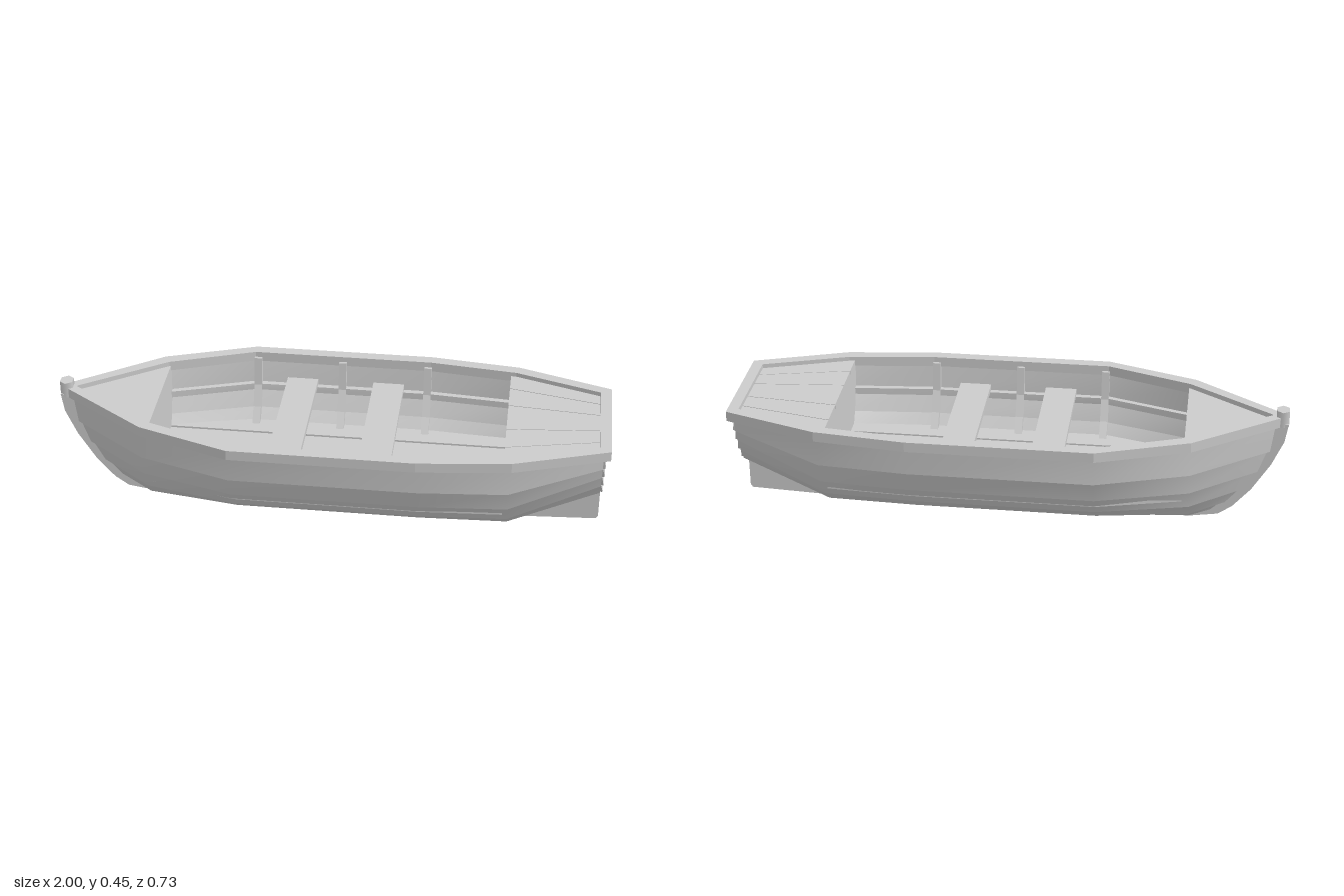
import * as THREE from 'three';
import { toCreasedNormals } from 'three/addons/utils/BufferGeometryUtils.js';

const material = new THREE.MeshStandardMaterial({ color: 0xcccccc });

// Half cross-sections as [z, y], keel to gunwale
const MID = [[0.02, 0.025], [0.092, 0.036], [0.165, 0.07], [0.24, 0.128], [0.295, 0.203], [0.335, 0.288], [0.35, 0.4]];
const STERN = [[0.02, 0.145], [0.055, 0.155], [0.105, 0.19], [0.14, 0.24], [0.17, 0.295], [0.19, 0.342], [0.2, 0.4]];
const BOW_X = [-0.7, -0.745, -0.795, -0.855, -0.905, -0.945, -0.97];
const scaled = (k) => MID.map(([z, y]) => [z * k, y]);

// Stations from bow to stern; x is one value per plank edge
const STATIONS = [
  { x: BOW_X, pts: MID.map(([, y]) => [0.012, y]) },
  { x: -0.66, pts: scaled(0.68) },
  { x: -0.33, pts: MID },
  { x: 0.33, pts: MID },
  { x: 0.65, pts: scaled(0.92) },
  { x: 0.975, pts: STERN },
];

// Move a half section inward (positive) or outward (negative)
function inset(pts, d) {
  return pts.map(([z, y], i) => {
    const a = pts[Math.max(i - 1, 0)], b = pts[Math.min(i + 1, pts.length - 1)];
    const tz = b[0] - a[0], ty = b[1] - a[1], l = Math.hypot(tz, ty);
    return [Math.max(0, z - (d * ty) / l), y + (d * tz) / l];
  });
}

// Half section of the middle body at any x
function sectionAt(x) {
  const s = STATIONS.slice(1);
  const i = Math.max(0, s.findIndex((st, k) => k < s.length - 1 && x <= s[k + 1].x));
  const t = (x - s[i].x) / (s[i + 1].x - s[i].x);
  return s[i].pts.map((p, k) => p.map((v, c) => v + (s[i + 1].pts[k][c] - v) * t));
}

// Skin a row of four-cornered rings, with end caps
function loft(rings) {
  const pos = [];
  const quad = (a, b, c, d) => pos.push(...a, ...b, ...c, ...a, ...c, ...d);
  for (let s = 0; s < rings.length - 1; s++) {
    for (let i = 0; i < 4; i++) {
      const j = (i + 1) % 4;
      quad(rings[s][i], rings[s + 1][i], rings[s + 1][j], rings[s][j]);
    }
  }
  quad(...rings[0]);
  quad(...[...rings[rings.length - 1]].reverse());
  const g = new THREE.BufferGeometry();
  g.setAttribute('position', new THREE.Float32BufferAttribute(pos, 3));
  g.computeVertexNormals();
  return toCreasedNormals(g, 0.5);
}

const shapeOf = (pts) => new THREE.Shape(pts.map(([a, b]) => new THREE.Vector2(a, b)));
const extrude = (shape, depth) => new THREE.ExtrudeGeometry(shape, { depth, bevelEnabled: false });

// Horizontal slab from an [x, z] outline
function slab(pts, y0, y1, hole) {
  const flip = (list) => list.map(([x, z]) => [x, -z]);
  const shape = shapeOf(flip(pts));
  if (hole) shape.holes.push(shapeOf(flip(hole)));
  return extrude(shape, y1 - y0).rotateX(-Math.PI / 2).translate(0, y0, 0);
}

// Upright slab across the boat from a [z, y] outline
const crossSlab = (pts, x, t) => extrude(shapeOf(pts), t).rotateY(Math.PI / 2).translate(x - t / 2, 0, 0);

const mirrored = (half) => [...half, ...half.map(([a, b]) => [a, -b]).reverse()];
const fullSection = (half) => [...half.map(([z, y]) => [-z, y]).reverse(), ...half];

export function createModel() {
  const boat = new THREE.Group();
  boat.name = 'rowingBoat';
  const add = (name, geometry) => {
    const mesh = new THREE.Mesh(geometry, material);
    mesh.name = name;
    boat.add(mesh);
    return mesh;
  };

  // Overlapping hull planks, both sides
  for (const side of [1, -1]) {
    for (let j = 0; j < 6; j++) {
      const rings = STATIONS.map(({ x, pts }) => {
        const out = inset(pts, -0.008), inn = inset(pts, 0.014);
        const at = (list, k) => [Array.isArray(x) ? x[k] : x, list[k][1], list[k][0] * side];
        const ring = [at(out, j), at(pts, j + 1), at(inn, j + 1), at(inn, j)];
        return side > 0 ? ring : ring.reverse();
      });
      add(side > 0 ? 'leftHullPlank' : 'rightHullPlank', loft(rings));
    }
  }

  // Overlapping transom planks
  for (let j = 0; j < 6; j++) {
    const [z0, y0] = STERN[j], [z1, y1] = STERN[j + 1];
    add('transomPlank', loft([1, -1].map((s) => [
      [0.985, y0 - 0.003, z0 * s], [0.975, y1, z1 * s], [0.955, y1, z1 * s], [0.955, y0 - 0.003, z0 * s],
    ])));
  }

  // Stem, keel and skeg in one profile
  const keel = [
    [-0.998, 0.4], [-0.987, 0.33], [-0.945, 0.235], [-0.88, 0.13], [-0.815, 0.055], [-0.765, 0.02],
    [-0.66, 0.004], [0.65, 0], [0.972, 0.014], [0.98, 0.025], [0.98, 0.15], [0.65, 0.032], [-0.66, 0.032],
    [-0.735, 0.045], [-0.785, 0.085], [-0.85, 0.165], [-0.91, 0.27], [-0.95, 0.4],
  ];
  add('keelAndStem', extrude(shapeOf(keel), 0.05).translate(0, 0, -0.025));
  add('stemPost', new THREE.CylinderGeometry(0.03, 0.03, 0.06, 6).scale(0.87, 1, 1).translate(-0.977, 0.418, 0));

  // Gunwale rim
  const outer = [[-0.985, 0.012], [-0.66, 0.25], [-0.33, 0.366], [0.33, 0.366], [0.66, 0.328], [1, 0.212]];
  const inner = [[-0.94, 0.003], [-0.64, 0.212], [-0.33, 0.325], [0.33, 0.325], [0.65, 0.288], [0.96, 0.185]];
  add('gunwale', slab(mirrored(outer), 0.387, 0.424, mirrored(inner)));

  // Bow deck and tapered stern deck boards
  add('bowDeck', slab(mirrored([[-0.95, 0.005], [-0.635, 0.22]]), 0.388, 0.406));
  const cuts = [-1.02, -0.69, -0.28, 0.28, 0.69, 1.02];
  for (let i = 0; i < 5; i++) {
    const a = cuts[i], b = cuts[i + 1], g = 0.0015;
    add('sternDeckBoard', slab([
      [0.63, a * 0.29 + g], [0.965, a * 0.185 + g], [0.965, b * 0.185 - g], [0.63, b * 0.29 - g],
    ], 0.39, 0.408));
  }

  // Bulkheads closing the space under both decks
  for (const [name, x] of [['bowBulkhead', -0.645], ['sternBulkhead', 0.64]]) {
    add(name, crossSlab(fullSection(inset(sectionAt(x), 0.01)), x, 0.018));
  }

  // Curved ribs
  for (const x of [-0.32, 0, 0.32]) {
    const rib = [...fullSection(inset(MID, 0.01)), ...fullSection(inset(MID, 0.04)).reverse()];
    add('rib', crossSlab(rib, x, 0.028));
  }

  // Stringers that carry the seats
  for (const side of [1, -1]) {
    const rings = [-0.635, -0.33, 0.33, 0.63].map((x) => {
      const z = sectionAt(x)[5][0] - 0.008;
      const ring = [[x, 0.275, z * side], [x, 0.3, z * side], [x, 0.3, (z - 0.025) * side], [x, 0.275, (z - 0.025) * side]];
      return side > 0 ? ring : ring.reverse();
    });
    add(side > 0 ? 'leftStringer' : 'rightStringer', loft(rings));
  }

  // Bench seats
  for (const x of [-0.152, 0.173]) {
    add('seat', new THREE.BoxGeometry(0.116, 0.022, 0.65).translate(x, 0.311, 0));
  }

  // Floor boards, the outer ones following the hull
  for (const z of [-0.11, 0, 0.11]) {
    add('floorBoard', new THREE.BoxGeometry(1.27, 0.015, 0.1).translate(0, 0.163, z));
  }
  for (const side of [1, -1]) {
    const board = [[-0.635, 0.17], [-0.635, 0.19], [-0.33, 0.268], [0.33, 0.268], [0.635, 0.25], [0.635, 0.17]];
    add('outerFloorBoard', slab(board.map(([x, z]) => [x, z * side]), 0.156, 0.171));
  }

  return boat;
}
